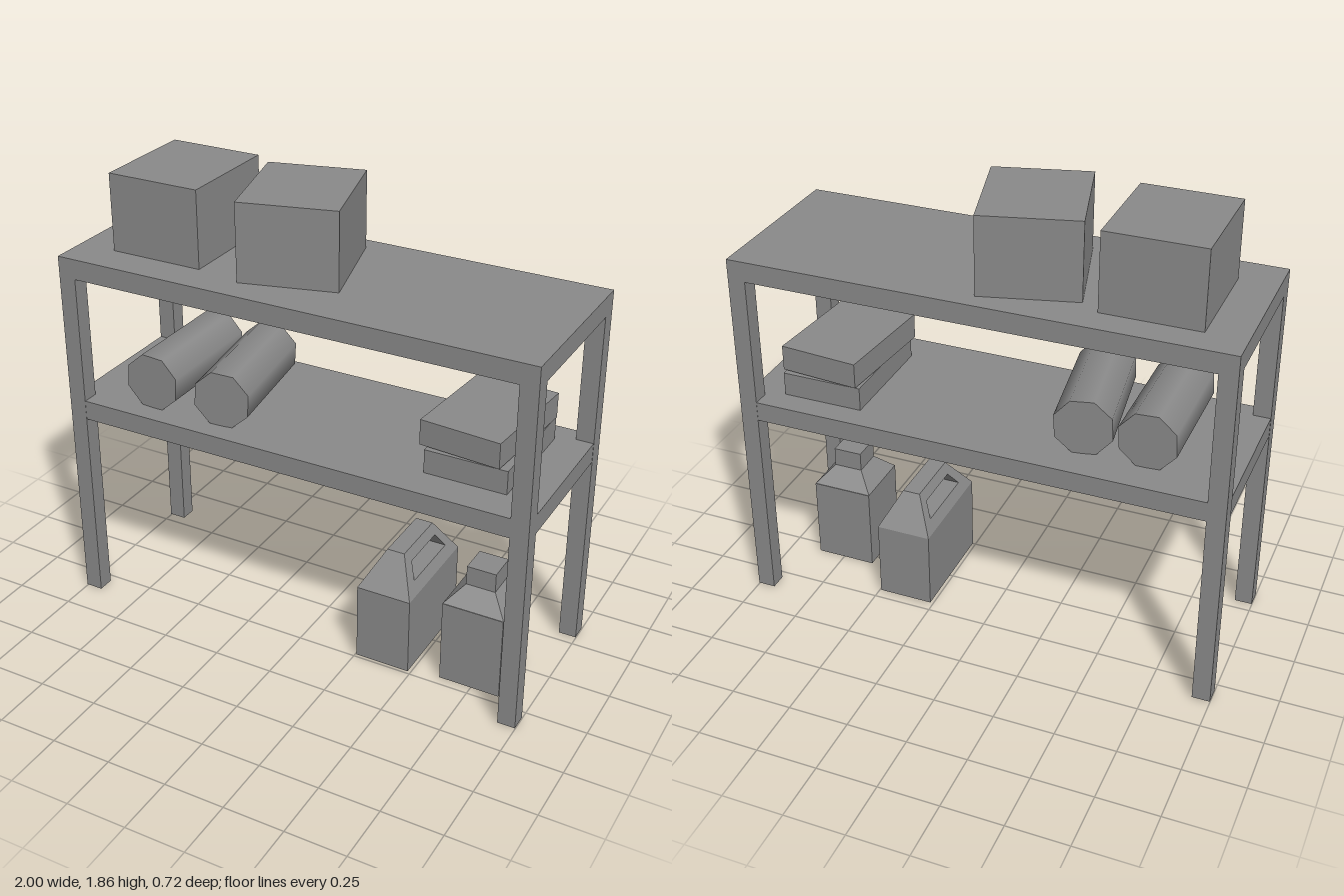
import * as THREE from 'three';

const flat = new THREE.MeshStandardMaterial({ color: 0x898989, flatShading: true, side: THREE.DoubleSide });
const smooth = new THREE.MeshStandardMaterial({ color: 0x898989 });

function add(parent, name, geometry, x = 0, y = 0, z = 0, turn = 0, material = flat) {
  const mesh = new THREE.Mesh(geometry, material);
  mesh.name = name;
  mesh.position.set(x, y, z);
  mesh.rotation.y = turn;
  parent.add(mesh);
}

// Box without its underside
function openBox(w, h, d) {
  const geometry = new THREE.BoxGeometry(w, h, d);
  const index = Array.from(geometry.index.array);
  index.splice(18, 6);
  geometry.setIndex(index);
  geometry.clearGroups();
  return geometry;
}

// Open square frustum whose top is narrower than its base
function taperedBlock(base, top, height) {
  const geometry = new THREE.CylinderGeometry(top / Math.SQRT2, base / Math.SQRT2, height, 4, 1, true);
  return geometry.rotateY(Math.PI / 4);
}

// Sloping upper half of the jug, pierced to leave a carrying handle
function handleGeometry() {
  const points = (list) => list.map(([z, y]) => new THREE.Vector2(z, y));
  const shape = new THREE.Shape(points([[-0.212, 0.337], [0.245, 0.337], [0.14, 0.482], [-0.12, 0.482]]));
  shape.holes.push(new THREE.Path(points([[-0.135, 0.382], [-0.1, 0.442], [0.115, 0.442], [0.155, 0.382]])));
  const geometry = new THREE.ExtrudeGeometry(shape, { depth: 1, bevelEnabled: false });
  geometry.translate(0, 0, -0.5).rotateY(-Math.PI / 2);
  // Narrow the width from the shoulder up to the grip
  const p = geometry.attributes.position;
  for (let i = 0; i < p.count; i++) {
    const t = (p.getY(i) - 0.337) / 0.145;
    p.setX(i, Math.sign(p.getX(i)) * THREE.MathUtils.lerp(0.115, 0.037, t));
  }
  geometry.computeVertexNormals();
  return geometry;
}

export function createModel() {
  const model = new THREE.Group();
  model.name = 'storageShelf';

  // Table frame: hollow boards with an open underside, on four legs
  const table = new THREE.Group();
  table.name = 'table';
  model.add(table);
  add(table, 'topBoard', openBox(2, 0.084, 0.722), 0, 1.5, 0);
  add(table, 'middleBoard', openBox(1.998, 0.082, 0.72), 0, 0.883, 0);
  for (const sx of [-1, 1])
    for (const sz of [-1, 1])
      add(table, 'leg', openBox(0.073, 1.453, 0.07), sx * 0.9635, 0.7315, sz * 0.326);

  // Cartons on the top board, sunk slightly into it
  add(model, 'straightCarton', openBox(0.393, 0.35, 0.452), -0.644, 1.685, -0.015);
  add(model, 'turnedCarton', openBox(0.393, 0.35, 0.453), -0.125, 1.685, -0.02, 0.257);

  // Octagonal rolls lying on the middle board
  const roll = new THREE.CylinderGeometry(0.122, 0.122, 0.5, 8);
  roll.rotateY(Math.PI / 8 - 0.06).rotateX(Math.PI / 2);
  add(model, 'straightRoll', roll, -0.653, 1.037, 0.025, 0, smooth);
  add(model, 'turnedRoll', roll, -0.365, 1.037, 0.025, 0.14, smooth);

  // Flat packages stacked on the middle board
  add(model, 'lowerPackage', openBox(0.335, 0.102, 0.475), 0.685, 0.971, -0.02);
  add(model, 'upperPackage', new THREE.BoxGeometry(0.333, 0.105, 0.47), 0.675, 1.081, -0.02, -0.085);

  // Jug with a carrying handle
  const jug = new THREE.Group();
  jug.name = 'handledJug';
  jug.position.x = 0.375;
  model.add(jug);
  add(jug, 'jugBody', openBox(0.23, 0.33, 0.457), 0, 0.172, 0.0165);
  add(jug, 'jugHandle', handleGeometry());

  // Square bottle with sloping shoulders and a cap
  const bottle = new THREE.Group();
  bottle.name = 'squareBottle';
  bottle.position.set(0.741, 0, 0.08);
  model.add(bottle);
  add(bottle, 'bottleBody', openBox(0.255, 0.357, 0.26), 0, 0.1785, 0);
  add(bottle, 'bottleShoulder', taperedBlock(0.255, 0.122, 0.073), 0, 0.3935, 0);
  add(bottle, 'bottleCap', openBox(0.122, 0.081, 0.122), 0, 0.4705, 0);

  return model;
}
